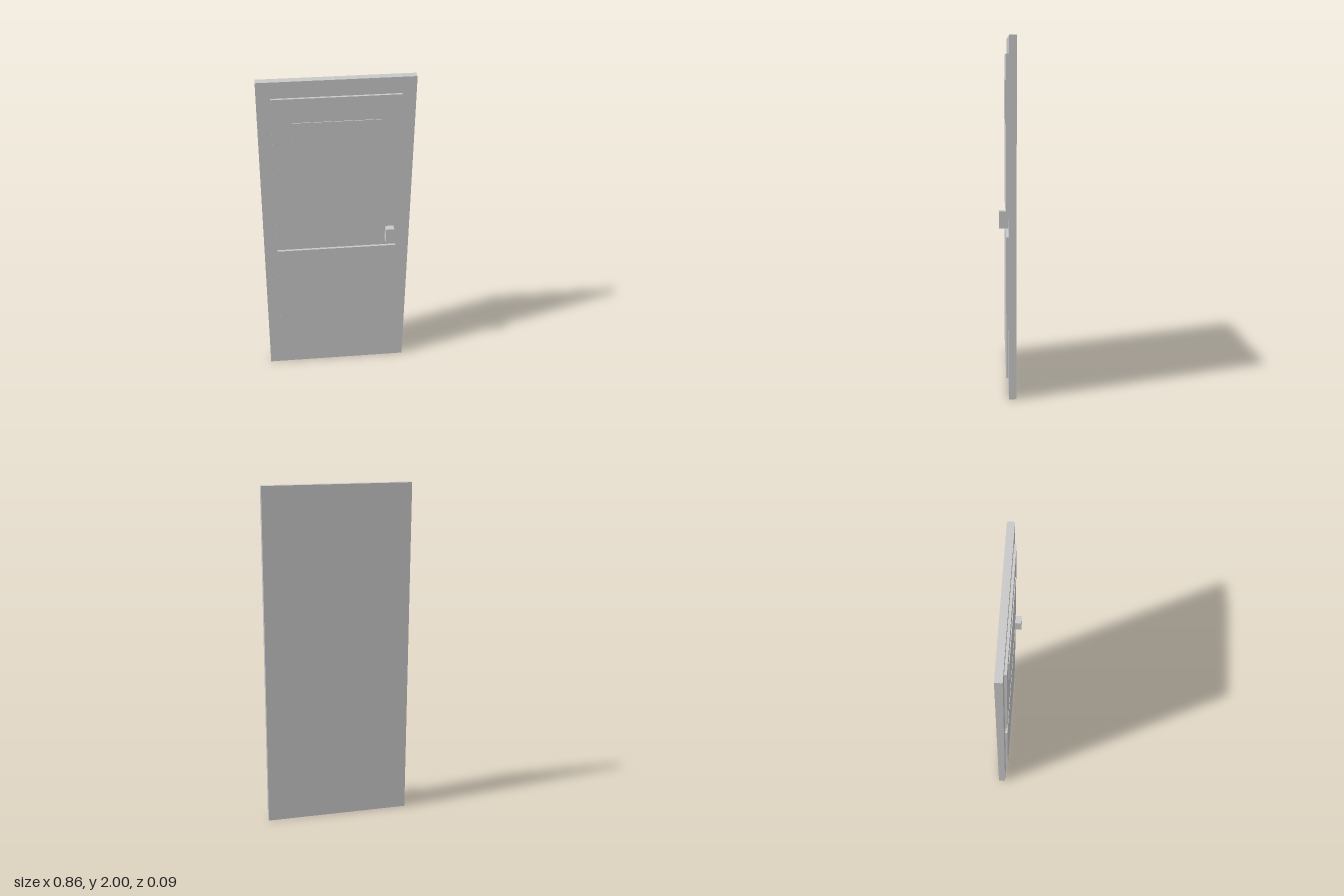
import * as THREE from 'three';

export function createModel() {
  const door = new THREE.Group();
  door.name = 'door';
  const grey = new THREE.MeshStandardMaterial({ color: 0xc8c8c8 });
  grey.name = 'light grey';

  // Box given by its lower and upper corners
  const addBox = (name, [x0, y0, z0], [x1, y1, z1]) => {
    const mesh = new THREE.Mesh(new THREE.BoxGeometry(x1 - x0, y1 - y0, z1 - z0), grey);
    mesh.name = name;
    mesh.position.set((x0 + x1) / 2, (y0 + y1) / 2, (z0 + z1) / 2);
    door.add(mesh);
  };

  const face = -0.006; // front of the slab
  const panelFront = 0.008;

  addBox('slab', [-0.428, 0, -0.047], [0.428, 2, face]);

  // Raised panels
  addBox('lowerPanel', [-0.352, 0.096, face], [0.352, 0.905, panelFront]);
  addBox('upperPanel', [-0.352, 1, face], [0.352, 1.905, panelFront]);

  // Thin plate on the upper panel
  addBox('signPlate', [-0.24, 1.525, panelFront], [0.24, 1.762, 0.0125]);

  // Block handle near the model's left edge
  addBox('handle', [0.285, 0.952, face], [0.333, 1.048, 0.047]);

  return door;
}
